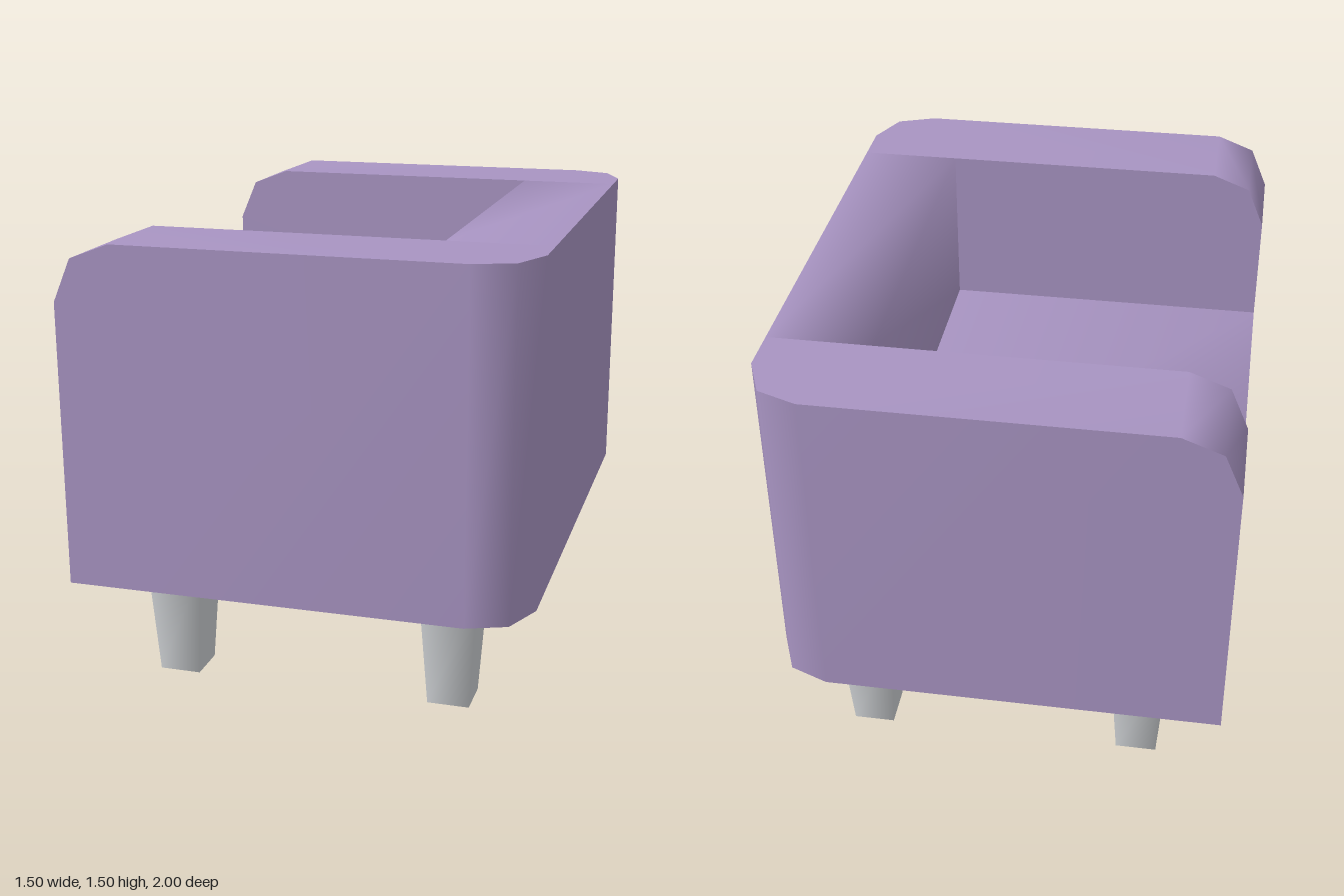
import * as THREE from 'three';

const BASE = 0.375, TOP = 1.5, SEAT = 0.93, ARM = 0.66, BACK = 0.41;

// Smooth strip of quads between two rows of points
function band(a, b) {
  const index = [];
  for (let i = 0; i < a.length - 1; i++) {
    const p = 2 * i;
    index.push(p, p + 1, p + 2, p + 1, p + 3, p + 2);
  }
  const geometry = new THREE.BufferGeometry();
  const points = a.flatMap((p, i) => [...p, ...b[i]]);
  geometry.setAttribute('position', new THREE.Float32BufferAttribute(points, 3));
  geometry.setIndex(index);
  geometry.computeVertexNormals();
  return geometry;
}

// Flat polygon from 2D points
const flat = (points) => new THREE.ShapeGeometry(new THREE.Shape(points.map(([x, y]) => new THREE.Vector2(x, y))));

// Profile in x, y swept straight across the space between the arms
const across = (profile) => band(
  profile.map(([x, y]) => [x, y, -ARM]),
  profile.map(([x, y]) => [x, y, ARM]));

export function createModel() {
  const group = new THREE.Group();
  const fabric = new THREE.MeshStandardMaterial({ color: 0xa894c2, side: THREE.DoubleSide });
  fabric.name = 'purple fabric';
  const metal = new THREE.MeshStandardMaterial({ color: 0xcbced1 });
  metal.name = 'grey metal';

  const add = (name, geometry, material = fabric) => {
    const mesh = new THREE.Mesh(geometry, material);
    mesh.name = name;
    group.add(mesh);
    return mesh;
  };

  // Rim from the front of one arm to the back: x, height, z
  const rim = [
    [-0.75, 1.31, 1], [-0.69, 1.45, 1], [-0.56, TOP, 1],
    [0.56, TOP, 1], [0.69, TOP, 0.95], [0.75, TOP, 0.81],
  ];
  const fullRim = [...rim, ...rim.map(([x, y, z]) => [x, y, -z]).reverse()];

  // Outer wall around both arms and the back
  add('outerWall', band(fullRim, fullRim.map(([x, y, z]) => [x, BASE, z])));

  // Underside
  const underside = flat(fullRim.map(([x, y, z]) => [x, z]));
  add('underside', underside.rotateX(Math.PI / 2).translate(0, BASE, 0));

  // Arms: rounded front and top, and the flat inner face
  for (const side of [-1, 1]) {
    const outer = [[-0.75, BASE, 1], ...rim].map(([x, y, z]) => [x, y, z * side]);
    add('armTop', band(outer, outer.map(([x, y]) => [x, y, ARM * side])));
    const inner = flat([
      [-0.75, SEAT], [-0.75, 1.31], [-0.69, 1.45], [-0.56, TOP], [BACK, TOP], [BACK, SEAT],
    ]);
    add('armInnerFace', inner.translate(0, 0, ARM * side));
  }

  // Seat and backrest, softly shaded over their front edges
  add('seat', across([[-0.75, BASE], [-0.75, SEAT], [BACK, SEAT]]));
  add('backrest', across([[BACK, SEAT], [BACK, TOP], [0.75, TOP]]));

  // Tapered square legs
  const leg = new THREE.CylinderGeometry(0.132, 0.098, BASE, 4).rotateY(Math.PI / 4);
  for (const x of [-0.467, 0.467]) {
    for (const z of [-0.72, 0.72]) add('leg', leg, metal).position.set(x, BASE / 2, z);
  }
  return group;
}
